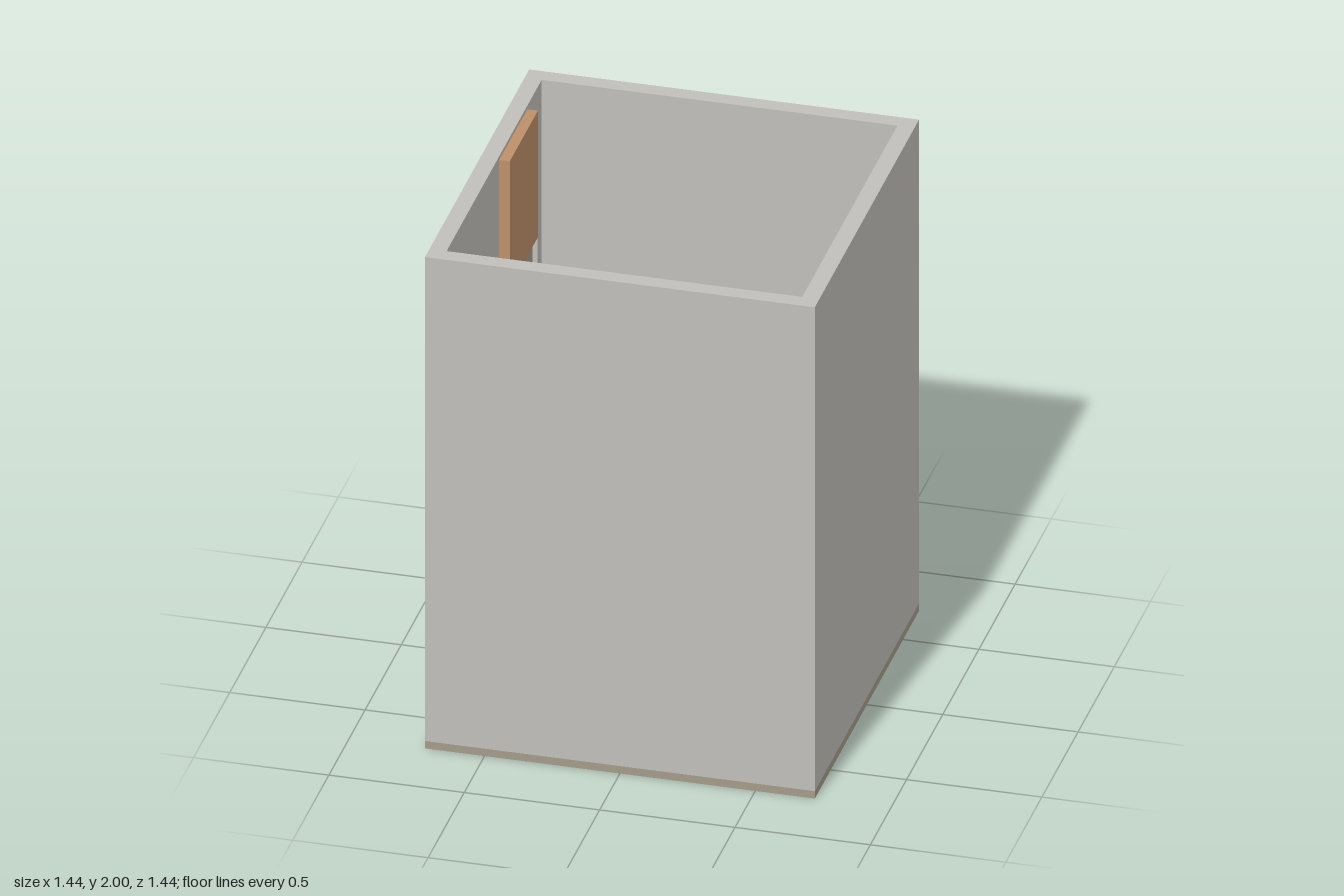
import * as THREE from 'three';

export function createModel() {
  const room = new THREE.Group();
  room.name = 'room';

  const material = (name, color) => {
    const m = new THREE.MeshStandardMaterial({ color });
    m.name = name;
    return m;
  };
  const wallGrey = material('wall grey', 0xc0bfba);
  const taupe = material('floor taupe', 0xa49a89);
  const wood = material('wood brown', 0xbc9069);
  const blue = material('desk blue', 0x7695b8);

  const H = 2, OUT = 0.72, IN = 0.657, FLOOR = 0.03;

  // Box given by its limits on each axis
  const box = (name, mat, [x0, x1], [y0, y1], [z0, z1], parent = room) => {
    const mesh = new THREE.Mesh(new THREE.BoxGeometry(x1 - x0, y1 - y0, z1 - z0), mat);
    mesh.position.set((x0 + x1) / 2, (y0 + y1) / 2, (z0 + z1) / 2);
    mesh.name = name;
    parent.add(mesh);
    return mesh;
  };
  const group = (name) => {
    const g = new THREE.Group();
    g.name = name;
    room.add(g);
    return g;
  };

  // Floor slab and the three plain walls
  box('floor', taupe, [-OUT, OUT], [0, FLOOR], [-OUT, OUT]);
  box('frontWall', wallGrey, [-IN, OUT], [FLOOR, H], [IN, OUT]);
  box('backWall', wallGrey, [-IN, OUT], [FLOOR, H], [-OUT, -IN]);
  box('leftWall', wallGrey, [IN, OUT], [FLOOR, H], [-IN, IN]);

  // Wall with the doorway cut out of its lower edge
  const doorBack = -0.597, doorFront = 0.068, doorTop = 1.41;
  const outline = new THREE.Shape([
    [-OUT, FLOOR], [doorBack, FLOOR], [doorBack, doorTop], [doorFront, doorTop],
    [doorFront, FLOOR], [OUT, FLOOR], [OUT, H], [-OUT, H],
  ].map(([z, y]) => new THREE.Vector2(z, y)));
  const doorWallGeometry = new THREE.ExtrudeGeometry(outline, { depth: OUT - IN, bevelEnabled: false });
  doorWallGeometry.rotateY(-Math.PI / 2);
  const doorWall = new THREE.Mesh(doorWallGeometry, wallGrey);
  doorWall.position.x = -IN;
  doorWall.name = 'doorWall';
  room.add(doorWall);

  // Door set back a little on both sides of the wall
  box('door', taupe, [-OUT + 0.018, -IN - 0.018], [FLOOR, doorTop], [doorBack, doorFront]);

  // Thin cabinet above the door
  box('panelAboveDoor', wood, [-IN, -0.618], [1.47, 1.985], [-0.46, -0.07]);

  // Desk against the front wall
  const desk = group('desk');
  const deskY = 0.52, deskX = 0.387, deskZ = [0.16, IN];
  box('deskTop', blue, [-deskX, deskX], [deskY - 0.03, deskY], deskZ, desk);
  for (const s of [-1, 1]) {
    const edges = [s * deskX, s * (deskX - 0.03)].sort((a, b) => a - b);
    box('deskSide', blue, edges, [FLOOR, deskY - 0.03], deskZ, desk);
  }
  box('deskBack', blue, [-deskX + 0.03, deskX - 0.03], [0.15, deskY - 0.03], [IN - 0.03, IN], desk);

  // Wall cabinet over the desk
  box('wallCabinet', wood, [-0.267, 0.267], [1.2, 1.65], [0.434, IN]);

  // Low cabinet beside the desk
  box('lowCabinet', wood, [-0.63, -0.457], [FLOOR, 0.5], [0.105, 0.575]);

  return room;
}
